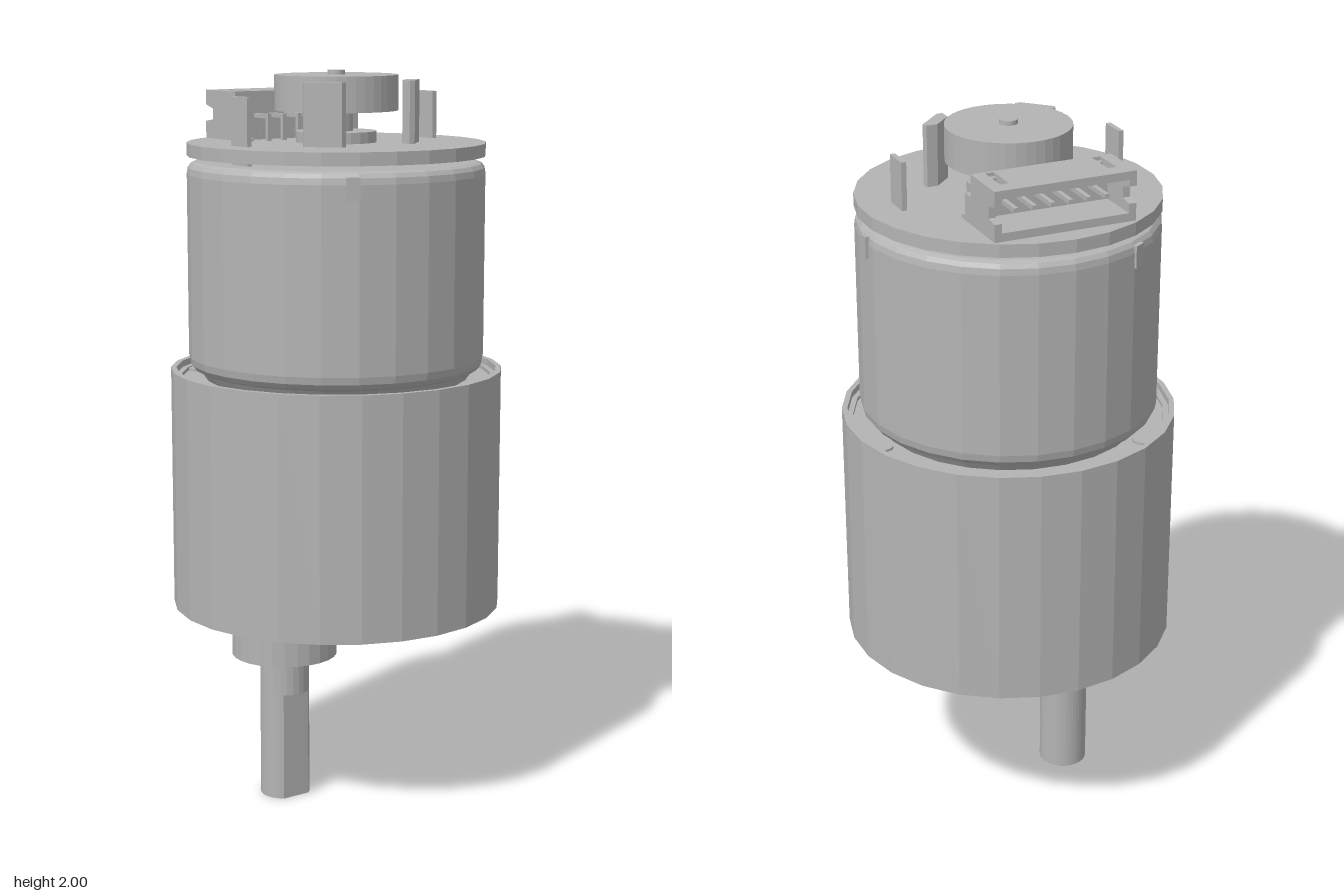
import * as THREE from 'three';

const metal = new THREE.MeshStandardMaterial({ color: 0xb4b4b4, flatShading: true });
const SIDES = 26;

export function createModel() {
  const model = new THREE.Group();
  const add = (name, geo, x = 0, y = 0, z = 0) => {
    const mesh = new THREE.Mesh(geo, metal);
    mesh.name = name;
    mesh.position.set(x, y, z);
    model.add(mesh);
    return mesh;
  };
  const cylinder = (name, r, y0, y1, x = 0, z = 0, sides = 24) =>
    add(name, new THREE.CylinderGeometry(r, r, y1 - y0, sides), x, (y0 + y1) / 2, z);
  const box = (name, x0, x1, y0, y1, z0, z1) =>
    add(name, new THREE.BoxGeometry(x1 - x0, y1 - y0, z1 - z0), (x0 + x1) / 2, (y0 + y1) / 2, (z0 + z1) / 2);
  const lathe = (name, pts) =>
    add(name, new THREE.LatheGeometry(pts.map(p => new THREE.Vector2(...p)), SIDES, Math.PI / 2));
  // Extrudes an (x, z) outline between two heights
  const slab = (name, shape, y0, y1) =>
    add(name, new THREE.ExtrudeGeometry(shape, { depth: y1 - y0, bevelEnabled: false, curveSegments: 16 })
      .rotateX(Math.PI / 2), 0, y1, 0);
  const circle = (x, z, r, n = 16) => Array.from({ length: n }, (_, i) => {
    const a = i / n * Math.PI * 2;
    return new THREE.Vector2(x + r * Math.cos(a), z + r * Math.sin(a));
  });
  const points = list => list.map(p => new THREE.Vector2(...p));
  const ring = (r, degrees) => {
    const a = degrees * Math.PI / 180;
    return [r * Math.sin(a), r * Math.cos(a)];
  };

  // Gearbox shell with a shallow rim around the motor
  lathe('gearboxBody', [[0, 0.565], [0.454, 0.565], [0.455, 0.565], [0.455, 1.193], [0.44, 1.193],
    [0.44, 1.175], [0.425, 1.175], [0.425, 1.165], [0, 1.165]]);
  for (const d of [69, 189, 309]) {
    const [x, z] = ring(0.4, d);
    cylinder('rimScrew', 0.028, 1.15, 1.172, x, z, 12);
  }

  // Gearbox face with screw holes and a crescent recess beside the boss
  const face = new THREE.Shape(circle(0, 0, 0.455, SIDES));
  const holes = [30, 90, 150, 210, 270, 330].map(d => ring(0.385, d));
  const screws = [60, 180, 300].map(d => ring(0.385, d));
  for (const [x, z] of [...holes, ...screws]) face.holes.push(new THREE.Path(circle(x, z, 0.04)));
  const crescent = new THREE.Path();
  const tip = Math.atan2(0.178, 0.25);
  crescent.absarc(0, 0, 0.307, tip, Math.PI - tip, true);
  crescent.absarc(0, 0.178, 0.25, Math.PI, Math.PI * 2, false);
  face.holes.push(crescent);
  slab('gearboxFace', face, 0.53, 0.565);

  // Threaded inserts and cross-head screws
  for (const [x, z] of holes) {
    const insert = new THREE.Shape(circle(x, z, 0.04));
    insert.holes.push(new THREE.Path(circle(x, z, 0.029)));
    slab('threadedInsert', insert, 0.54, 0.565);
  }
  const w = 0.005, l = 0.022;
  const cross = [[w, w], [l, w], [l, -w], [w, -w], [w, -l], [-w, -l], [-w, -w], [-l, -w], [-l, w], [-w, w], [-w, l], [w, l]];
  for (const [x, z] of screws) {
    const head = new THREE.Shape(circle(x, z, 0.034));
    head.holes.push(new THREE.Path(points(cross.map(([a, b]) => [x + a, z + b]))));
    slab('screwHead', head, 0.525, 0.564);
  }

  // Offset output boss and D-shaped shaft
  cylinder('outputBoss', 0.145, 0.405, 0.55, 0, 0.178, 26);
  cylinder('outputShaft', 0.068, 0.3, 0.42, 0, 0.178);
  const half = Math.acos(0.054 / 0.068);
  const dShape = new THREE.Shape();
  dShape.absarc(0, 0.178, 0.068, half, Math.PI * 2 - half, false);
  dShape.closePath();
  slab('shaftFlat', dShape, 0, 0.3);

  // Motor can with rounded ends
  lathe('motorCan', [[0, 1.165], [0.36, 1.168], [0.375, 1.19], [0.39, 1.196], [0.401, 1.21], [0.405, 1.23],
    [0.405, 1.725], [0.402, 1.742], [0.394, 1.753], [0.38, 1.758], [0, 1.758]]);
  for (const d of [60, 180, 300]) {
    const [x, z] = ring(0.4, d);
    const clip = add('canClip', new THREE.BoxGeometry(0.035, 0.06, 0.02), x, 1.715, z);
    clip.rotation.y = d * Math.PI / 180;
  }

  // Circuit board, bearing hub and encoder disc
  cylinder('bearingHub', 0.11, 1.75, 1.838);
  cylinder('circuitBoard', 0.405, 1.773, 1.808, 0, 0, SIDES).rotation.y = Math.PI / 2;
  cylinder('encoderNeck', 0.045, 1.83, 1.9);
  cylinder('encoderDisc', 0.167, 1.893, 1.988, 0, 0, 40);
  cylinder('motorShaftTip', 0.024, 1.98, 2.0, 0, 0, 16);

  // Power terminals and angled sensors
  for (const s of [-1, 1]) {
    box('powerTerminal', -0.038, 0.038, 1.75, 1.937, s * 0.308 - 0.007, s * 0.308 + 0.007);
    const outline = [[0.105, 0.185], [0.12, 0.19], [0.19, 0.12], [0.187, 0.105], [0.155, 0.105], [0.105, 0.155]];
    slab('hallSensor', new THREE.Shape(points(outline.map(([x, z]) => [x, z * s]))), 1.8, 1.975);
  }

  // Plug socket, open toward the board edge
  const roof = new THREE.Shape(points([[-0.345, -0.195], [-0.2, -0.195], [-0.2, 0.195], [-0.345, 0.195]]));
  for (const z of [-0.148, 0.148]) {
    roof.holes.push(new THREE.Path(points([[-0.3, z - 0.012], [-0.21, z - 0.012], [-0.21, z + 0.012], [-0.3, z + 0.012]])));
  }
  slab('socketRoof', roof, 1.918, 1.94);
  box('socketFloor', -0.345, -0.2, 1.808, 1.83, -0.195, 0.195);
  box('socketBackWall', -0.225, -0.202, 1.82, 1.93, -0.19, 0.19);
  const wall = new THREE.Shape(points([[-0.345, 1.808], [-0.14, 1.808], [-0.14, 1.815], [-0.163, 1.822], [-0.163, 1.88],
    [-0.2, 1.88], [-0.2, 1.94], [-0.345, 1.94], [-0.345, 1.9], [-0.31, 1.89], [-0.31, 1.86], [-0.345, 1.855]]));
  const wallGeo = new THREE.ExtrudeGeometry(wall, { depth: 0.02, bevelEnabled: false });
  add('socketSide', wallGeo, 0, 0, 0.175);
  add('socketSide', wallGeo, 0, 0, -0.195);

  // Bent contact pins
  for (let i = 0; i < 6; i++) {
    const z = (i - 2.5) * 0.05;
    box('contactPin', -0.32, -0.135, 1.868, 1.88, z - 0.006, z + 0.006);
    box('contactLeg', -0.147, -0.135, 1.8, 1.88, z - 0.006, z + 0.006);
  }
  return model;
}
